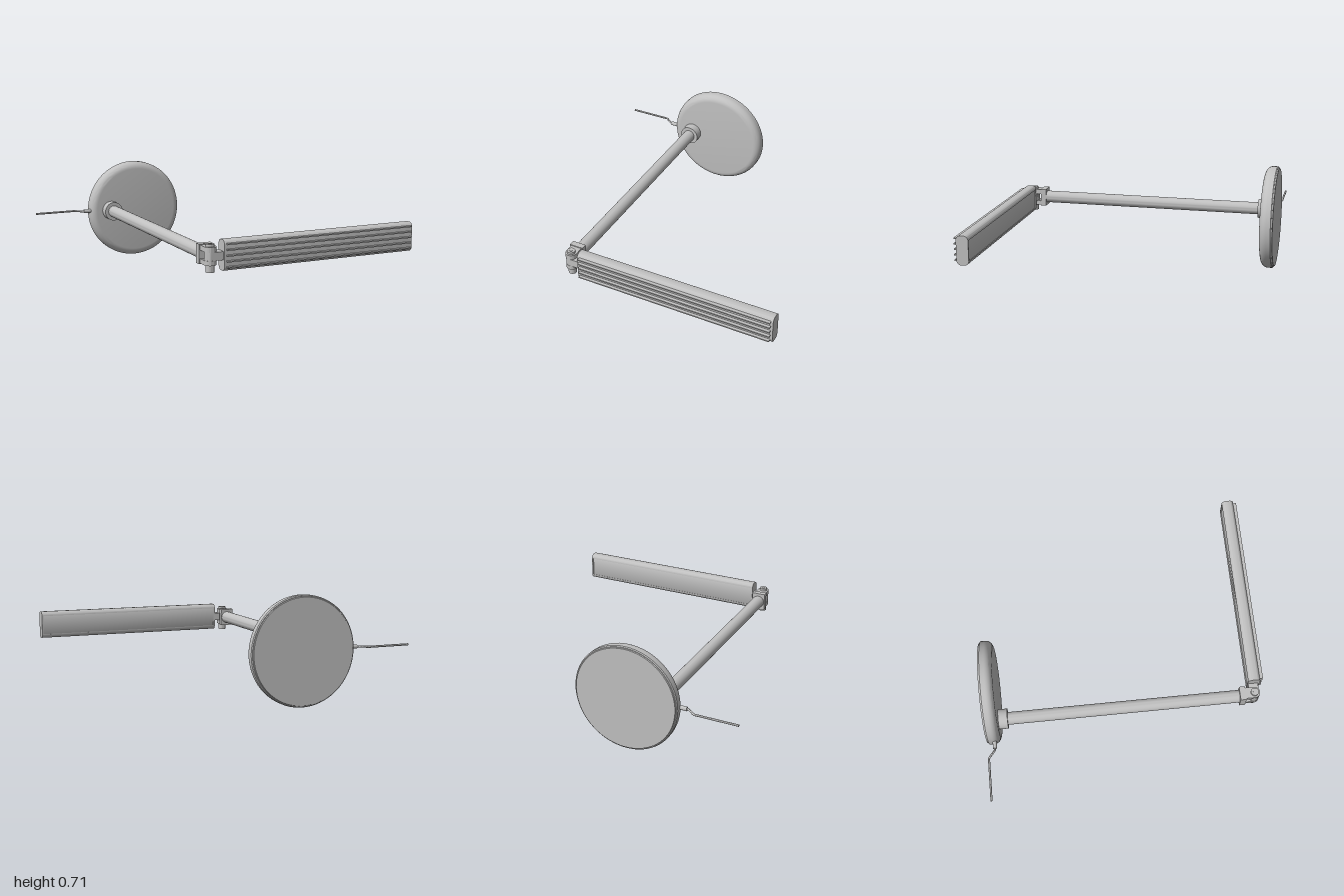
import * as THREE from 'three';
import { toCreasedNormals } from 'three/addons/utils/BufferGeometryUtils.js';

export function createModel() {
  const model = new THREE.Group();
  model.name = 'deskLamp';
  const grey = new THREE.MeshStandardMaterial({ color: 0xc0c0c0 });
  grey.name = 'plain grey';

  const add = (name, geometry, x = 0, y = 0, z = 0) => {
    const mesh = new THREE.Mesh(toCreasedNormals(geometry, 0.6), grey);
    mesh.name = name;
    mesh.position.set(x, y, z);
    model.add(mesh);
    return mesh;
  };
  const box = (name, x0, x1, y0, y1, z0, z1) =>
    add(name, new THREE.BoxGeometry(x1 - x0, y1 - y0, z1 - z0), (x0 + x1) / 2, (y0 + y1) / 2, (z0 + z1) / 2);
  const rod = (name, r, z0, z1, x, y) =>
    add(name, new THREE.CylinderGeometry(r, r, z1 - z0, 40).rotateX(Math.PI / 2), x, y, (z0 + z1) / 2);

  const midY = 0.361, poleX = -0.444, hingeZ = 0.886;

  // Round base: flat foot pad behind, rounded rim in front
  const R = 0.356, round = 0.05;
  const profile = [[0, -0.954], [0.343, -0.954], [0.346, -0.947], [R - 0.006, -0.947], [R, -0.941]]
    .map(p => new THREE.Vector2(...p));
  for (let i = 0; i <= 8; i++) {
    const a = (i / 8) * Math.PI / 2;
    profile.push(new THREE.Vector2(R - round + round * Math.cos(a), -0.862 - round + round * Math.sin(a)));
  }
  profile.push(new THREE.Vector2(0, -0.862));
  add('base', new THREE.LatheGeometry(profile, 72).rotateX(Math.PI / 2), -0.245, 0.357, 0);

  // Pole with collar at the base and socket at the hinge
  rod('collar', 0.068, -0.865, -0.8, poleX, midY);
  rod('pole', 0.043, -0.81, 0.79, poleX, midY);
  box('poleSocket', poleX - 0.047, poleX + 0.047, 0.3, 0.424, 0.785, 0.825);

  // Hinge: two rounded fork ears, a tongue between them and a pin
  const ear = new THREE.Shape();
  ear.moveTo(-0.038, 0.82 - hingeZ);
  ear.lineTo(0.038, 0.82 - hingeZ);
  ear.lineTo(0.038, 0);
  ear.absarc(0, 0, 0.038, 0, Math.PI, false);
  ear.closePath();
  for (const [top, depth] of [[0.418, 0.032], [0.333, 0.03]]) {
    const g = new THREE.ExtrudeGeometry(ear, { depth, bevelEnabled: false, curveSegments: 20 });
    add('forkEar', g.rotateX(Math.PI / 2), poleX, top, hingeZ);
  }
  const upright = (name, r, y0, y1) =>
    add(name, new THREE.CylinderGeometry(r, r, y1 - y0, 32), poleX, (y0 + y1) / 2, hingeZ);
  upright('hingePin', 0.027, 0.258, 0.434);
  upright('hingeScrew', 0.012, 0.255, 0.437);
  upright('tongueKnuckle', 0.036, 0.333, 0.386);
  box('tongue', poleX, -0.365, 0.333, 0.386, 0.855, 0.922);

  // Lamp head: rounded section with a shallow recess behind for the light panel
  const hw = 0.041, hh = 0.097, r = 0.03;
  const section = recess => {
    const s = new THREE.Shape();
    s.moveTo(-hw + r, -hh);
    s.lineTo(hw - r, -hh);
    s.absarc(hw - r, -hh + r, r, -Math.PI / 2, 0, false);
    if (recess) {
      s.lineTo(hw, -0.07);
      s.lineTo(hw - 0.008, -0.07);
      s.lineTo(hw - 0.008, 0.07);
      s.lineTo(hw, 0.07);
    }
    s.absarc(hw - r, hh - r, r, 0, Math.PI / 2, false);
    s.absarc(-hw + r, hh - r, r, Math.PI / 2, Math.PI, false);
    s.absarc(-hw + r, -hh + r, r, Math.PI, Math.PI * 1.5, false);
    return s;
  };
  const headPiece = (name, x0, x1, recess) => {
    const g = new THREE.ExtrudeGeometry(section(recess), { depth: x1 - x0, bevelEnabled: false, curveSegments: 8 });
    add(name, g.rotateY(Math.PI / 2), x0, 0.36, 0.893);
  };
  headPiece('headBody', -0.36, 0.99, true);
  headPiece('headEndCap', -0.37, -0.36, false);
  headPiece('headEndCap', 0.99, 1, false);

  // Cooling fins along the front of the head
  for (let i = -2; i <= 2; i++) {
    const y = 0.362 + i * 0.036;
    box('coolingFin', -0.356, 0.986, y - 0.004, y + 0.004, 0.93, 0.954);
  }

  // Cable and its strain relief
  add('cablePlug', new THREE.CylinderGeometry(0.014, 0.014, 0.06, 20).rotateZ(Math.PI / 2), -0.615, midY, -0.9);
  const path = new THREE.CurvePath();
  const pts = [[-0.64, -0.9], [-0.655, -0.902], [-0.7, -0.938], [-0.715, -0.945], [-1, -0.945]]
    .map(([x, z]) => new THREE.Vector3(x, midY, z));
  path.add(new THREE.LineCurve3(pts[0], pts[1]));
  path.add(new THREE.QuadraticBezierCurve3(pts[1], new THREE.Vector3(-0.662, midY, -0.905), pts[2]));
  path.add(new THREE.QuadraticBezierCurve3(pts[2], new THREE.Vector3(-0.708, midY, -0.945), pts[3]));
  path.add(new THREE.LineCurve3(pts[3], pts[4]));
  add('cable', new THREE.TubeGeometry(path, 80, 0.007, 12));
  add('cableEnd', new THREE.CircleGeometry(0.007, 12).rotateY(-Math.PI / 2), -1, midY, -0.945);

  return model;
}
